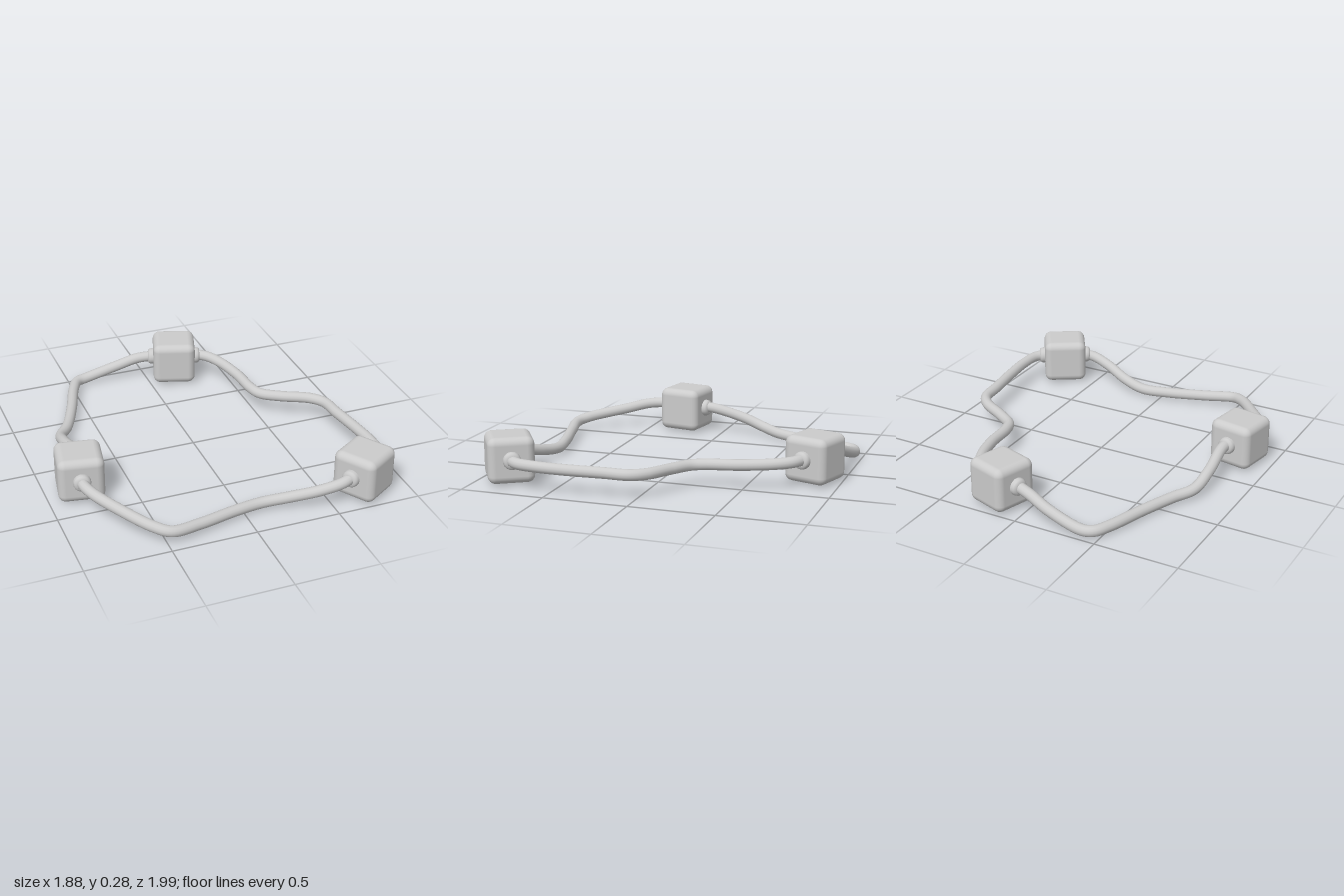
import * as THREE from 'three';
import { RoundedBoxGeometry } from 'three/addons/geometries/RoundedBoxGeometry.js';

const material = new THREE.MeshStandardMaterial({ color: 0xcccccc });
const BEAD_Y = 0.145, SOCKET_Y = 0.152, CORD_R = 0.033;

// Bead centres, turn about y in degrees, and the local axis the cord runs along
const beads = [
  { name: 'leftBead', x: -0.797, z: 0.265, turn: -10, axis: 'z' },
  { name: 'backBead', x: 0.18, z: -0.841, turn: -18, axis: 'x' },
  { name: 'frontBead', x: 0.732, z: 0.825, turn: 32, axis: 'x' },
];

// Cord centrelines between neighbouring beads
const cords = {
  leftCord: [
    [-0.765, 0.157, 0.08], [-0.775, 0.105, -0.13], [-0.755, 0.055, -0.28], [-0.68, 0.04, -0.4],
    [-0.595, 0.036, -0.6], [-0.51, 0.035, -0.84], [-0.46, 0.035, -0.93], [-0.395, 0.037, -0.953],
    [-0.18, 0.095, -0.94], [-0.05, 0.14, -0.912], [0.055, 0.153, -0.88]],
  rightCord: [
    [0.315, 0.155, -0.795], [0.375, 0.153, -0.755], [0.43, 0.148, -0.66], [0.48, 0.14, -0.475],
    [0.5, 0.133, -0.29], [0.53, 0.13, -0.21], [0.64, 0.13, -0.13], [0.795, 0.133, -0.04],
    [0.855, 0.135, 0.04], [0.87, 0.138, 0.185], [0.895, 0.142, 0.4], [0.905, 0.147, 0.58],
    [0.89, 0.15, 0.7], [0.845, 0.152, 0.757]],
  frontCord: [
    [0.61, 0.15, 0.895], [0.55, 0.14, 0.912], [0.425, 0.107, 0.89], [0.27, 0.065, 0.832],
    [0.12, 0.043, 0.797], [-0.05, 0.045, 0.82], [-0.29, 0.053, 0.88], [-0.47, 0.068, 0.913],
    [-0.555, 0.085, 0.86], [-0.71, 0.122, 0.66], [-0.795, 0.148, 0.53], [-0.822, 0.154, 0.43]],
};
const links = { leftCord: [0, 1], rightCord: [1, 2], frontCord: [2, 0] };

function mesh(name, geometry) {
  const m = new THREE.Mesh(geometry, material);
  m.name = name;
  return m;
}

// Rounded cube with a domed socket on each of the two faces the cord enters
function makeBead({ name, x, z, turn, axis }) {
  const bead = new THREE.Group();
  bead.name = name;
  bead.add(mesh('cube', new RoundedBoxGeometry(0.27, 0.27, 0.27, 3, 0.045)));
  const profile = [[0.052, 0], [0.052, 0.145], [0.049, 0.158], [0.042, 0.167], [0.03, 0.17]]
    .map(([r, h]) => new THREE.Vector2(r, h));
  for (const side of [-1, 1]) {
    const socket = mesh('socket', new THREE.LatheGeometry(profile, 20));
    if (axis === 'z') socket.rotation.x = side * Math.PI / 2;
    else socket.rotation.z = -side * Math.PI / 2;
    socket.position.y = SOCKET_Y - BEAD_Y;
    bead.add(socket);
  }
  bead.position.set(x, BEAD_Y, z);
  bead.rotation.y = THREE.MathUtils.degToRad(turn);
  return bead;
}

// Bendy cord whose two ends are buried halfway to the bead centres
function makeCord(name, points) {
  const path = points.map(p => new THREE.Vector3(...p));
  const [from, to] = links[name].map(i => new THREE.Vector3(beads[i].x, SOCKET_Y, beads[i].z));
  const start = path[0].clone().lerp(from, 0.5);
  const end = path[path.length - 1].clone().lerp(to, 0.5);
  const curve = new THREE.CatmullRomCurve3([start, ...path, end]);
  return mesh(name, new THREE.TubeGeometry(curve, 120, CORD_R, 14));
}

export function createModel() {
  const model = new THREE.Group();
  model.name = 'beadedLoop';
  for (const bead of beads) model.add(makeBead(bead));
  for (const [name, points] of Object.entries(cords)) model.add(makeCord(name, points));
  return model;
}
